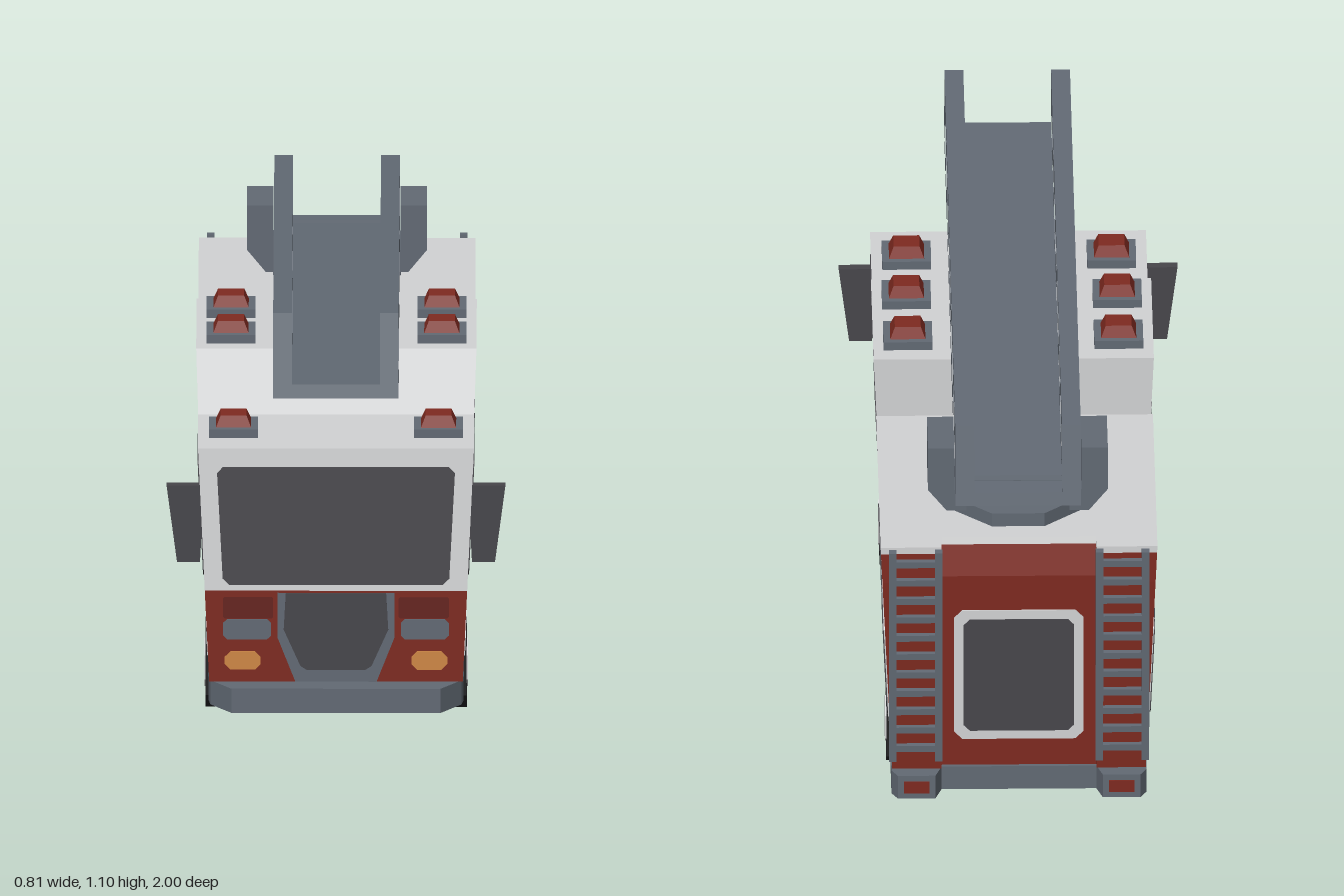
import * as THREE from 'three';

const mat = (name, color) => { const m = new THREE.MeshStandardMaterial({ color }); m.name = name; return m; };

export function createModel() {
  const root = new THREE.Group();
  root.name = 'fireEngine';
  const red = mat('red', 0x7e2a20), white = mat('white', 0xd2d3d4), grey = mat('steel grey', 0x626a74),
    glass = mat('dark glass', 0x47464b), tyre = mat('tyre black', 0x232325), orange = mat('orange', 0xcf8745),
    darkRed = mat('dark red', 0x66241f);

  // Adds a faceted mesh
  function add(name, geo, material, x = 0, y = 0, z = 0, parent = root) {
    const g = geo.index ? geo.toNonIndexed() : geo;
    g.computeVertexNormals();
    const m = new THREE.Mesh(g, material);
    m.name = name;
    m.position.set(x, y, z);
    parent.add(m);
    return m;
  }
  const box = (w, h, d) => new THREE.BoxGeometry(w, h, d);
  const poly = (pts, holes = []) => {
    const s = new THREE.Shape(pts.map(p => new THREE.Vector2(...p)));
    holes.forEach(h => s.holes.push(new THREE.Path(h.map(p => new THREE.Vector2(...p)))));
    return s;
  };
  const extrude = (pts, depth, holes) => new THREE.ExtrudeGeometry(poly(pts, holes), { depth, bevelEnabled: false });
  const rect = (a, b, c, d) => [[a, c], [b, c], [b, d], [a, d]];
  // Cuts each corner of a polygon
  const cut = (pts, c) => pts.flatMap((p, i) => [pts.at(i - 1), pts[(i + 1) % pts.length]].map(q => {
    const l = Math.hypot(q[0] - p[0], q[1] - p[1]);
    return [p[0] + (q[0] - p[0]) * c / l, p[1] + (q[1] - p[1]) * c / l];
  }));
  // Half width of the outward-leaning walls
  const hw = y => 0.303 + (y - 0.16) * 0.047;
  // Extrudes a (z, y) profile across x, between two x limits that depend on y
  function prism(pts, x0, x1, holes) {
    const g = extrude(pts, 1, holes), p = g.attributes.position;
    for (let i = 0; i < p.count; i++) {
      const z = p.getX(i), y = p.getY(i), d = p.getZ(i);
      p.setXYZ(i, x1(y) + (x0(y) - x1(y)) * d, y, z);
    }
    return g;
  }
  const wide = pts => prism(pts, y => -hw(y), hw);
  // Thin plates on both side walls
  function sidePlate(name, pts, material, out, inset = 0.004) {
    add(name + 'Left', prism(pts, y => hw(y) - inset, y => hw(y) + out), material);
    add(name + 'Right', prism(pts, y => -hw(y) - out, y => -hw(y) + inset), material);
  }
  const frontZ = y => 0.85 - Math.max(0, y - 0.385) * 0.087;
  // Thin plate on the cab nose
  function frontPlate(name, pts, material, out) {
    const g = extrude(pts, out + 0.002), p = g.attributes.position;
    for (let i = 0; i < p.count; i++) p.setZ(i, p.getZ(i) - 0.002 + frontZ(p.getY(i)));
    add(name, g, material);
  }

  // Chassis with narrowed joint and stepped rear
  const half = [[0.25, 0.915], [0.3, 0.84], [0.305, 0.8], [0.305, -0.11], [0.28, -0.11], [0.28, -0.215],
    [0.305, -0.215], [0.305, -0.96], [0.29, -0.99], [0.2, -0.99], [0.185, -0.94]];
  const outline = [...half, ...half.map(([x, z]) => [-x, z]).reverse()];
  add('chassis', extrude(outline, 0.06).rotateX(Math.PI / 2), grey, 0, 0.16, 0);

  // Cab
  add('cabLower', wide([[0.85, 0.16], [0.85, 0.385], [-0.11, 0.4], [-0.11, 0.16]]), red);
  add('cabUpper', wide([[0.85, 0.385], [0.82, 0.73], [0.52, 0.73], [0.33, 0.84], [-0.11, 0.84], [-0.11, 0.4]]), white);
  sidePlate('cabWindowFront', cut([[0.812, 0.41], [0.798, 0.69], [0.53, 0.69], [0.53, 0.42]], 0.015), glass, 0.003);
  sidePlate('cabWindowMiddle', cut(rect(0.35, 0.505, 0.42, 0.69), 0.015), glass, 0.003);
  sidePlate('cabWindowRear', cut(rect(-0.065, 0.315, 0.425, 0.69), 0.015), glass, 0.003);
  frontPlate('windshield', cut([[-0.27, 0.4], [0.27, 0.4], [0.285, 0.685], [-0.285, 0.685]], 0.015), glass, 0.003);

  // Nose details
  frontPlate('grilleSurround', [[-0.14, 0.38], [-0.14, 0.27], [-0.097, 0.16], [0.097, 0.16], [0.14, 0.27], [0.14, 0.38]], grey, 0.003);
  frontPlate('grille', [[-0.12, 0.38], [-0.125, 0.29], [-0.085, 0.2], [-0.07, 0.19], [0.07, 0.19], [0.085, 0.2], [0.125, 0.29], [0.12, 0.38]], glass, 0.006);
  for (const s of [1, -1]) {
    const lamp = (a, b, c, d, k) => cut(rect(Math.min(s * a, s * b), Math.max(s * a, s * b), c, d), k);
    frontPlate('upperLamp', lamp(0.15, 0.27, 0.317, 0.37, 0.004), darkRed, 0.004);
    frontPlate('headlamp', lamp(0.155, 0.27, 0.265, 0.315, 0.01), grey, 0.004);
    frontPlate('indicator', lamp(0.18, 0.266, 0.19, 0.235, 0.014), orange, 0.004);
    // Mirrors
    const mirror = [[0.315, 0.64], [0.405, 0.64], [0.38, 0.45], [0.325, 0.45]].map(([x, y]) => [s * x, y]);
    add('mirror', extrude(mirror, 0.025), glass, 0, 0, 0.802);
  }

  // Joint between cab and rear body
  add('joint', box(0.56, 0.39, 0.13), red, 0, 0.355, -0.163);

  // Rear body with a recessed back between two corner columns
  add('rearBody', wide([[-0.215, 0.16], [-0.215, 0.66], [-0.233, 0.735], [-0.91, 0.735], [-0.93, 0.66], [-0.93, 0.16]]), red);
  add('rearRoof', wide([[-0.233, 0.735], [-0.237, 0.752], [-0.905, 0.752], [-0.91, 0.735]]), white);
  const column = [[-0.9, 0.16], [-0.9, 0.735], [-0.962, 0.735], [-0.965, 0.66], [-0.95, 0.16]];
  const columnRoof = rect(-0.962, -0.9, 0.735, 0.752);
  for (const [name, pts, m] of [['cornerColumn', column, red], ['cornerRoof', columnRoof, white]]) {
    add(name + 'Left', prism(pts, () => 0.185, hw), m);
    add(name + 'Right', prism(pts, y => -hw(y), () => -0.185), m);
  }
  const hatches = [[-0.405, -0.225, 0.275, 0.54], [-0.727, -0.44, 0.42, 0.54], [-0.937, -0.75, 0.275, 0.54]];
  hatches.forEach(([a, b, c, d], i) => {
    sidePlate('hatchFrame' + i, cut(rect(a, b, c, d), 0.018), white, 0.003);
    sidePlate('hatchGlass' + i, cut(rect(a + 0.013, b - 0.013, c + 0.013, d - 0.013), 0.014), glass, 0.006);
  });
  add('backFrame', extrude(cut(rect(-0.155, 0.155, 0.23, 0.57), 0.02), 0.005).rotateY(Math.PI), white, 0, 0, -0.929);
  add('backGlass', extrude(cut(rect(-0.132, 0.132, 0.253, 0.547), 0.015), 0.005).rotateY(Math.PI), glass, 0, 0, -0.932);

  // Wheels, hubs and arches
  const hex = r => [...Array(6)].map((_, i) => [r * Math.sin(i * Math.PI / 3), r * Math.cos(i * Math.PI / 3)]);
  for (const z of [0.505, -0.57]) {
    const arch = [[-0.115, 0.16], [-0.115, 0.183], [0, 0.245], [0.115, 0.183], [0.115, 0.16]].map(([a, y]) => [a + z, y]);
    sidePlate('wheelArch', arch, white, 0.005, 0.02);
    for (const s of [1, -1]) {
      const disc = (r, a, b) => prism(hex(r), () => Math.min(s * a, s * b), () => Math.max(s * a, s * b));
      add('wheel', disc(0.112, 0.235, 0.312), tyre, 0, 0.112, z);
      add('hub', disc(0.06, 0.3, 0.315), white, 0, 0.112, z);
    }
  }

  // Roof beacons
  const frustum = (a, b, h) => new THREE.CylinderGeometry(a * Math.SQRT1_2, b * Math.SQRT1_2, h, 4).rotateY(Math.PI / 4);
  for (const s of [1, -1]) for (const [x, y, z] of [[0.245, 0.73, 0.67], [0.252, 0.84, 0.225], [0.252, 0.84, 0]]) {
    add('beaconBase', box(0.117, 0.022, 0.117), grey, s * x, y + 0.01, z);
    add('beacon', frustum(0.062, 0.085, 0.028), red, s * x, y + 0.034, z);
  }

  // Turntable and ladder brackets
  add('turntable', new THREE.CylinderGeometry(0.165, 0.165, 0.036, 8).rotateY(Math.PI / 8), grey, 0, 0.768, -0.695);
  add('pedestal', box(0.28, 0.07, 0.175), grey, 0, 0.81, -0.7);
  for (const s of [1, -1]) {
    const bracket = [[0.152, 0.93], [0.215, 0.93], [0.215, 0.82], [0.17, 0.765], [0.1, 0.765], [0.1, 0.8], [0.152, 0.82]];
    add('ladderBracket', extrude(bracket.map(([x, y]) => [s * x, y]), 0.175), grey, 0, 0, -0.787);
  }

  // Main ladder: t runs front to back, s from bottom rail to top rail
  const mix = THREE.MathUtils.lerp;
  const at = (t, s) => [mix(mix(1, -0.855, t), mix(0.94, -0.81, t), s), mix(mix(0.905, 0.81, t), mix(1.1, 1, t), s)];
  const holes = [], n = 18, step = 0.96 / n, gap = 0.009, lo = 0.17, hi = 0.84;
  for (let i = 0; i < n - 1; i++) {
    const t = 0.02 + i * step, reach = (hi - lo) * (1 - gap / step);
    const [base, tip] = i % 2 ? [hi, hi - reach] : [lo, lo + reach];
    holes.push([at(t + gap, base), at(t + 2 * step - gap, base), at(t + step, tip)]);
  }
  const truss = [at(0, 0), at(1, 0), at(1, 1), at(0, 1)];
  add('ladderSideLeft', prism(truss, () => 0.105, () => 0.15, holes), grey);
  add('ladderSideRight', prism(truss, () => -0.15, () => -0.105, holes), grey);
  add('ladderFloor', prism([at(0, 0), at(1, 0), at(1, 0.16), at(0, 0.16)], () => -0.106, () => 0.106), grey);

  // Rear climbing ladders and tail lamps
  for (const s of [1, -1]) {
    const ladder = new THREE.Group();
    ladder.name = 'rearLadder';
    ladder.position.set(s * 0.247, 0.472, -0.976);
    ladder.rotation.x = -0.05;
    for (const x of [-0.055, 0.055]) add('ladderRail', box(0.018, 0.566, 0.02), grey, x, 0, 0, ladder);
    for (let i = 0; i < 11; i++) add('rung', box(0.1, 0.016, 0.014), grey, 0, -0.25 + i * 0.05, 0, ladder);
    root.add(ladder);
    add('tailLamp', box(0.06, 0.03, 0.008), red, s * 0.245, 0.13, -0.989);
  }
  return root;
}
